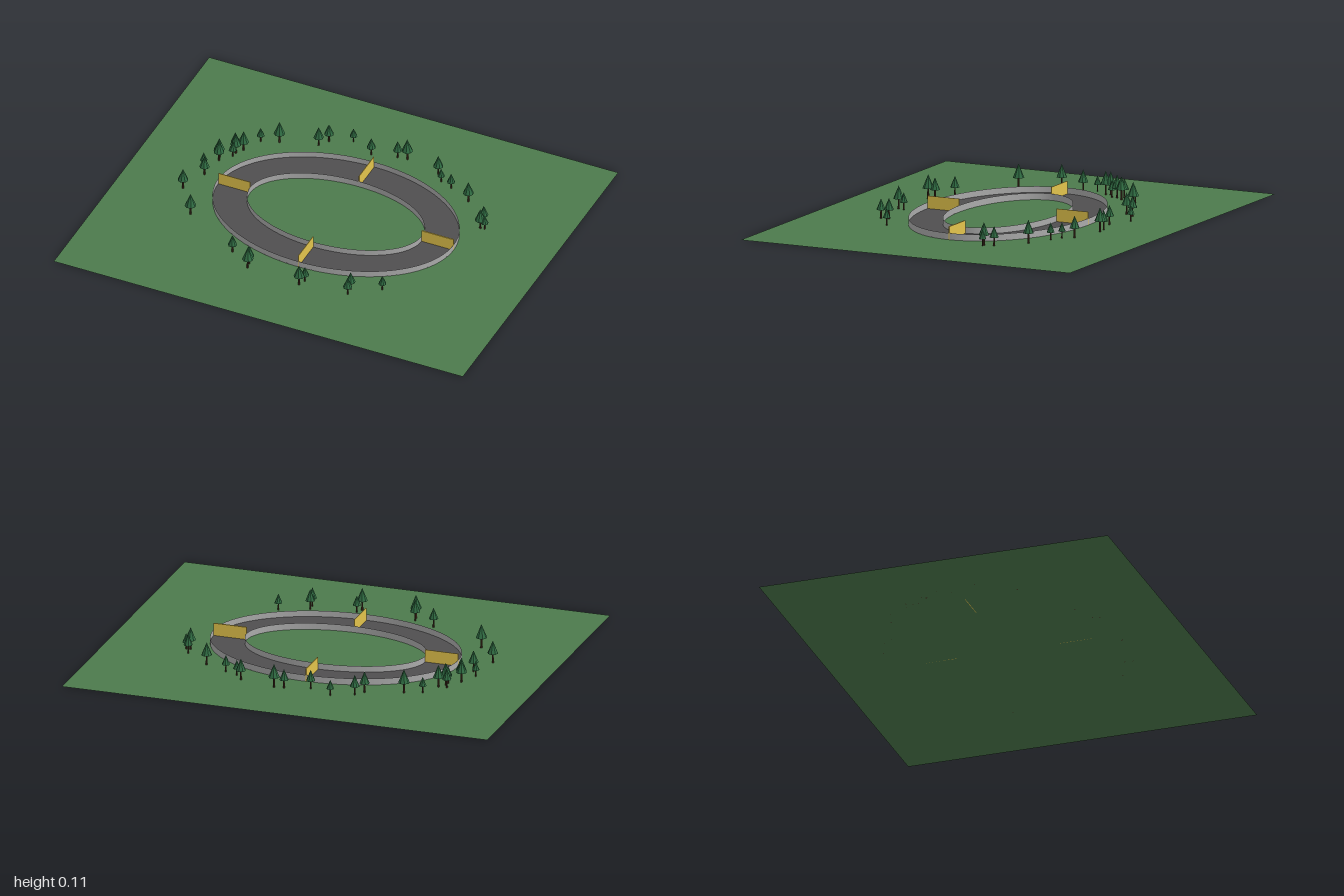
import * as THREE from 'three';

const material = (color, extra = {}) => new THREE.MeshStandardMaterial({ color, ...extra });

function addMesh(parent, name, geometry, mat) {
  const mesh = new THREE.Mesh(geometry, mat);
  mesh.name = name;
  parent.add(mesh);
  return mesh;
}

// Tree spots: x, z, height
const TREES = [
  [-0.26, -0.487, 0.095], [-0.29, -0.443, 0.1], [-0.16, -0.53, 0.075], [-0.05, -0.48, 0.09],
  [0.065, -0.51, 0.09], [0.11, -0.515, 0.11], [0.28, -0.475, 0.1], [0.315, -0.43, 0.072],
  [0.375, -0.405, 0.08], [0.485, -0.35, 0.106], [0.61, -0.243, 0.09], [0.615, -0.195, 0.105],
  [0.635, -0.198, 0.075], [-0.457, -0.39, 0.112], [-0.535, -0.36, 0.075], [-0.615, -0.265, 0.09],
  [-0.577, -0.27, 0.105], [-0.6, -0.237, 0.106], [-0.602, -0.21, 0.08], [-0.653, -0.178, 0.105],
  [-0.645, -0.157, 0.108], [-0.69, -0.093, 0.073], [-0.66, -0.037, 0.1], [-0.705, 0.093, 0.105],
  [-0.595, 0.252, 0.112], [-0.31, 0.423, 0.092], [-0.207, 0.47, 0.1], [-0.2, 0.5, 0.112],
  [0.058, 0.515, 0.106], [0.072, 0.483, 0.08], [0.28, 0.45, 0.095], [0.283, 0.488, 0.09],
  [0.41, 0.395, 0.078],
];

export function createModel() {
  const model = new THREE.Group();
  const outer = [0.575, 0.4], inner = [0.42, 0.243];

  // Field
  addMesh(model, 'ground', new THREE.PlaneGeometry(2, 1.64).rotateX(-Math.PI / 2),
    material(0x4c7a4c, { side: THREE.DoubleSide }));

  // Oval road surface
  const oval = new THREE.Shape().absellipse(0, 0, ...outer, 0, Math.PI * 2);
  oval.holes.push(new THREE.Path().absellipse(0, 0, ...inner, 0, Math.PI * 2, true));
  const road = addMesh(model, 'road', new THREE.ShapeGeometry(oval, 64).rotateX(-Math.PI / 2),
    material(0x504e50, { side: THREE.DoubleSide }));
  road.position.y = 0.002;

  // Thin barriers along both edges of the road
  const barrierMat = material(0xaaaaaa, { side: THREE.DoubleSide });
  for (const [name, [rx, rz]] of [['outerBarrier', outer], ['innerBarrier', inner]]) {
    const wall = new THREE.CylinderGeometry(1, 1, 0.03, 96, 1, true)
      .translate(0, 0.015, 0).scale(rx, 1, rz);
    addMesh(model, name, wall, barrierMat);
  }

  // Gates across the road at the four ends of the axes
  const gateMat = material(0xe3c44c);
  for (const side of [-1, 1]) {
    const gateX = addMesh(model, side > 0 ? 'leftGate' : 'rightGate',
      new THREE.BoxGeometry(outer[0] - inner[0], 0.06, side > 0 ? 0.006 : 0.003), gateMat);
    gateX.position.set(side * (outer[0] + inner[0]) / 2, 0.03, 0);
    const gateZ = addMesh(model, side > 0 ? 'frontGate' : 'backGate',
      new THREE.BoxGeometry(0.003, 0.06, outer[1] - inner[1]), gateMat);
    gateZ.position.set(0, 0.03, side * (outer[1] + inner[1]) / 2);
  }

  // Trees of unit height, scaled per spot
  const trunkGeo = new THREE.CylinderGeometry(0.035, 0.045, 0.48, 6).translate(0, 0.24, 0);
  const crownGeo = new THREE.ConeGeometry(0.23, 0.56, 8).translate(0, 0.72, 0);
  const trunkMat = material(0x4a3222, { flatShading: true });
  const crownMat = material(0x2f6b42, { flatShading: true });
  const trees = new THREE.Group();
  trees.name = 'trees';
  model.add(trees);
  TREES.forEach(([x, z, height], i) => {
    const tree = new THREE.Group();
    tree.name = 'tree';
    addMesh(tree, 'trunk', trunkGeo, trunkMat);
    addMesh(tree, 'crown', crownGeo, crownMat);
    tree.position.set(x, 0, z);
    tree.rotation.y = i * 1.3;
    tree.scale.setScalar(height);
    trees.add(tree);
  });

  return model;
}
